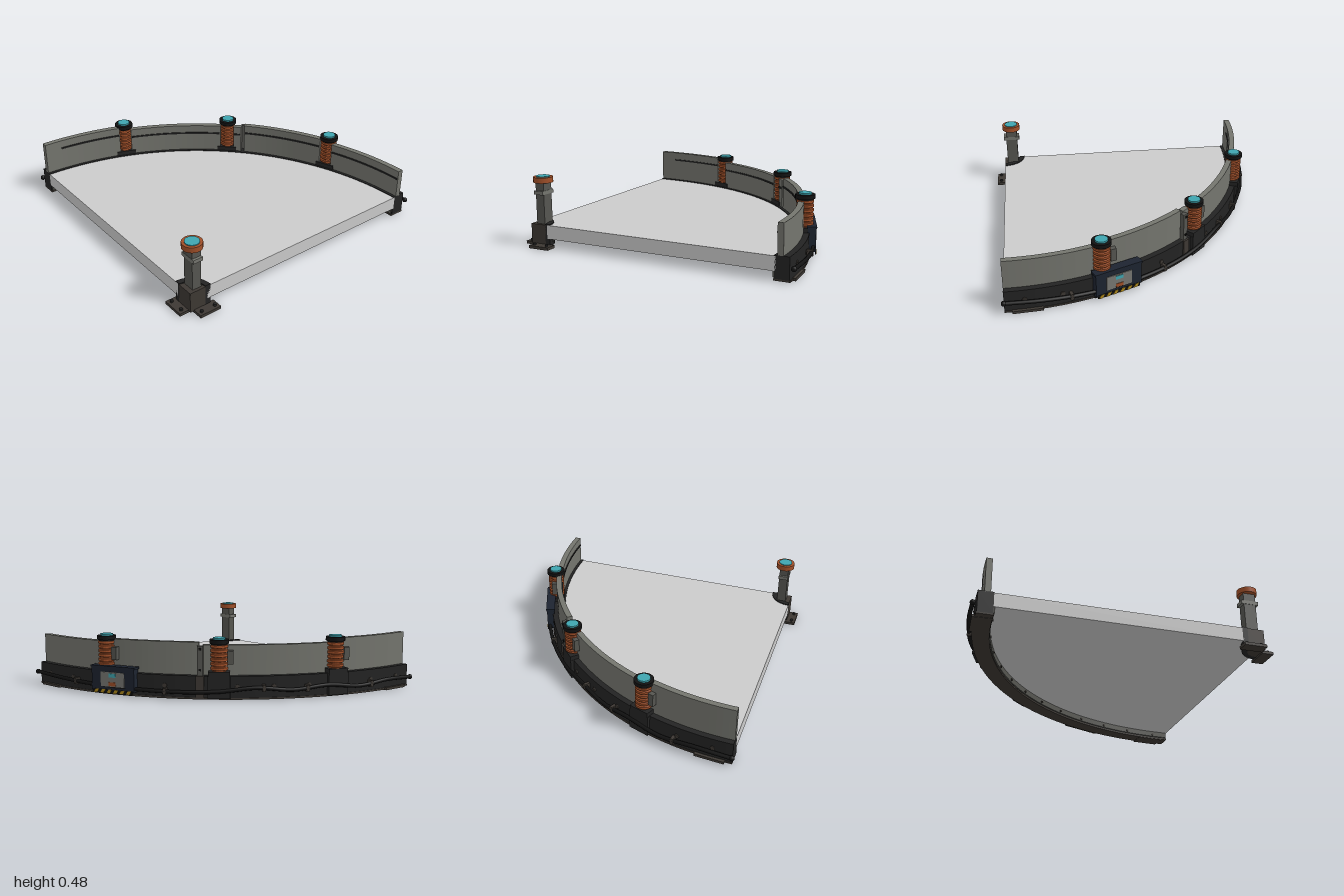
import * as THREE from 'three';

const D = Math.PI / 180;
const mat = (color) => new THREE.MeshStandardMaterial({ color });
const M = {
  floor: mat(0xcccccc), wall: mat(0x74756e), dark: mat(0x232323), black: mat(0x121212),
  iron: mat(0x3d3833), post: mat(0x555550), copper: mat(0xa04f28), teal: mat(0x3fa5b0),
  navy: mat(0x1d2430), panel: mat(0x777772), yellow: mat(0xb08a1c),
};
// Pivot corner of the quarter circle; every part is placed around it
const CX = -0.935, CZ = 0.925;

function mesh(name, geo, material, x = 0, y = 0, z = 0) {
  const m = new THREE.Mesh(geo, material);
  m.name = name;
  m.position.set(x, y, z);
  return m;
}
const box = (name, m, w, h, d, x, y, z) => mesh(name, new THREE.BoxGeometry(w, h, d), m, x, y, z);
const cyl = (name, m, r, h, x, y, z, n = 24) => mesh(name, new THREE.CylinderGeometry(r, r, h, n), m, x, y, z);

// Ring slice between two radii, two angles (degrees) and two heights
function sector(name, m, r0, r1, a0, a1, y0, y1) {
  const s = new THREE.Shape();
  s.absarc(0, 0, r1, a0 * D, a1 * D, false);
  s.absarc(0, 0, r0, a1 * D, a0 * D, true);
  s.closePath();
  const geo = new THREE.ExtrudeGeometry(s, {
    depth: y1 - y0, bevelEnabled: false, curveSegments: Math.max(2, Math.ceil((a1 - a0) / 3)),
  });
  geo.rotateX(-Math.PI / 2);
  return mesh(name, geo, m, 0, y0, 0);
}

// Group at a radius and angle: local +x points outward, z runs along the arc
function station(name, r, a) {
  const g = new THREE.Group();
  g.name = name;
  g.position.set(r * Math.cos(a * D), 0, -r * Math.sin(a * D));
  g.rotation.y = a * D;
  return g;
}

function makeCoil() {
  const g = station('coilPost', 1.857, 0);
  g.add(box('coilBase', M.dark, 0.11, 0.036, 0.145, 0, 0.173, 0));
  g.add(box('coilFoot', M.dark, 0.05, 0.15, 0.15, 0.03, 0.085, 0));
  // Ribbed copper column
  const pts = [[0.001, 0.19], [0.048, 0.19]];
  for (let i = 0; i < 6; i++) {
    const y = 0.197 + i * 0.03;
    pts.push([0.048, y], [0.058, y + 0.004], [0.058, y + 0.02], [0.048, y + 0.024]);
  }
  pts.push([0.048, 0.378], [0.001, 0.378]);
  const lathe = new THREE.LatheGeometry(pts.map(([x, y]) => new THREE.Vector2(x, y)), 24).toNonIndexed();
  lathe.computeVertexNormals();
  g.add(mesh('coilColumn', lathe, M.copper));
  g.add(cyl('coilCollar', M.black, 0.055, 0.014, 0, 0.372, 0));
  g.add(cyl('coilCap', M.black, 0.066, 0.027, 0, 0.391, 0));
  g.add(cyl('coilLamp', M.teal, 0.043, 0.013, 0, 0.41, 0));
  g.add(box('coilClamp', M.post, 0.035, 0.09, 0.04, 0.01, 0.285, -0.075));
  return g;
}

function makeControlBox() {
  const g = station('controlBox', 1.9, 22.7);
  g.add(box('controlHousing', M.navy, 0.055, 0.17, 0.335, 0, 0.118, 0));
  g.add(box('controlLid', M.navy, 0.065, 0.014, 0.345, 0, 0.197, 0));
  g.add(box('controlPanel', M.panel, 0.01, 0.1, 0.185, 0.028, 0.112, 0));
  g.add(box('screen', M.teal, 0.006, 0.026, 0.055, 0.034, 0.14, 0));
  g.add(box('switchPlate', M.copper, 0.006, 0.026, 0.055, 0.034, 0.08, 0));
  // Slanted warning stripes along the lower edge
  g.add(box('stripeBack', M.black, 0.006, 0.026, 0.31, 0.028, 0.028, 0));
  for (let i = 0; i < 6; i++) {
    const s = new THREE.Shape();
    [[0, 0], [0.026, 0], [0.042, 0.026], [0.016, 0.026]].forEach(([x, y], k) => (k ? s.lineTo(x, y) : s.moveTo(x, y)));
    const geo = new THREE.ExtrudeGeometry(s, { depth: 0.003, bevelEnabled: false }).rotateY(Math.PI / 2);
    g.add(mesh('warningStripe', geo, M.yellow, 0.03, 0.015, 0.15 - i * 0.051));
  }
  return g;
}

export function createModel() {
  const root = new THREE.Group();
  root.name = 'quarterArena';
  const arena = new THREE.Group();
  arena.name = 'arena';
  arena.position.set(CX, 0, CZ);
  root.add(arena);

  // Floor and curved curb
  arena.add(sector('floor', M.floor, 0.13, 1.8, 0, 90, 0.06, 0.155));
  arena.add(sector('curb', M.dark, 1.79, 1.89, 0, 90, 0.012, 0.16));
  arena.add(sector('curbFlange', M.iron, 1.785, 1.895, 0, 90, 0.002, 0.014));
  arena.add(sector('curbInnerLining', M.post, 1.78, 1.792, 0.2, 89.8, 0.02, 0.06));

  // Wall panels [start, end, top] with an inset dark strip on the inner face
  const panels = [[71.4, 90, 0.392], [46.6, 68.6, 0.365], [41.5, 43.4, 0.365], [21.5, 40.7, 0.382], [0, 18.5, 0.362]];
  for (const [a0, a1, top] of panels) {
    arena.add(sector('wallPanel', M.wall, 1.81, 1.85, a0, a1, 0.155, top));
    const end = a1 === 90 ? 86 : a1 - 0.2;
    arena.add(sector('wallStrip', M.dark, 1.804, 1.812, a0 + 0.2, end, top - 0.068, top - 0.056));
  }

  // Coil posts standing in the wall gaps
  for (const a of [20, 45, 70]) {
    const coil = makeCoil();
    coil.position.set(1.857 * Math.cos(a * D), 0, -1.857 * Math.sin(a * D));
    coil.rotation.y = a * D;
    arena.add(coil);
  }
  arena.add(makeControlBox());

  // Upright strap over the panel seam
  const strap = station('seamStrap', 1.865, 41.1);
  strap.add(box('strapBar', M.post, 0.03, 0.34, 0.04, 0.006, 0.19, 0));
  strap.add(box('strapFoot', M.iron, 0.05, 0.15, 0.055, 0.01, 0.085, 0));
  for (const y of [0.2, 0.34]) strap.add(box('strapBolt', M.black, 0.008, 0.014, 0.014, 0.024, y, 0));
  arena.add(strap);

  // Bolts on both faces of the curb
  for (let i = 0; i < 12; i++) {
    const st = station('curbBolts', 1.84, 4 + i * 7.45);
    for (const [x, y, r] of [[-0.062, 0.035, 0.009], [0.05, 0.09, 0.016]]) {
      const b = cyl('bolt', M.iron, r, 0.012, x, y, 0, 8);
      b.rotation.z = Math.PI / 2;
      st.add(b);
    }
    arena.add(st);
  }

  // Foot plates beneath the curb ends
  for (const a of [4.5, 85.5]) {
    const st = station('curbFoot', 1.85, a);
    st.add(box('footPlate', M.iron, 0.12, 0.018, 0.2, 0, 0.009, 0));
    arena.add(st);
  }

  // Cable sagging around the outside, with clips
  const heights = [0.09, 0.082, 0.07, 0.06, 0.055, 0.052, 0.06, 0.085, 0.065, 0.085, 0.06, 0.08, 0.07];
  const at = (r, a, y) => new THREE.Vector3(r * Math.cos(a * D), y, -r * Math.sin(a * D));
  const path = new THREE.CatmullRomCurve3(heights.map((y, i) => at(1.917, i * 7.5, y)));
  arena.add(mesh('cable', new THREE.TubeGeometry(path, 90, 0.0135, 8), M.black));
  for (const y of [0, 1]) {
    const e = path.getPoint(y);
    arena.add(mesh('cableEnd', new THREE.SphereGeometry(0.018, 10, 8), M.black, e.x, e.y, e.z));
  }
  for (const a of [13, 34, 54, 63, 78]) {
    const st = station('cableClip', 1.9, a);
    st.add(box('clip', M.iron, 0.05, 0.045, 0.022, 0.005, path.getPoint(a / 90).y, 0));
    arena.add(st);
  }

  // Pivot corner: hub, post with cap, and two foot plates
  arena.add(sector('pivotHub', M.dark, 0.115, 0.152, 0, 90, 0.012, 0.162));
  arena.add(sector('pivotCore', M.iron, 0.001, 0.12, 0, 90, 0.012, 0.155));
  for (const a of [15, 37, 59, 80]) {
    const st = station('hubBolt', 0.152, a);
    const b = cyl('bolt', M.post, 0.008, 0.01, 0, 0.04, 0, 8);
    b.rotation.z = Math.PI / 2;
    st.add(b);
    arena.add(st);
  }
  const post = new THREE.Group();
  post.name = 'pivotPost';
  post.position.set(0.066, 0, -0.064);
  post.add(box('postShaft', M.post, 0.065, 0.3, 0.085, 0, 0.295, 0));
  post.add(box('postCollar', M.wall, 0.07, 0.026, 0.12, 0, 0.371, 0));
  post.add(cyl('postCap', M.copper, 0.067, 0.038, 0, 0.457, 0, 20));
  post.add(cyl('postLamp', M.teal, 0.048, 0.01, 0, 0.477, 0));
  arena.add(post);
  // The two foot plates reach out past each straight side
  const feet = [[-0.025, -0.098, 0.08, 0.155], [0.103, 0.03, 0.155, 0.08]];
  for (const [x, z, w, d] of feet) {
    arena.add(box('pivotFoot', M.iron, w, 0.02, d, x, 0.01, z));
    for (const s of [-1, 1]) {
      const along = s * 0.05;
      arena.add(cyl('footBolt', M.dark, 0.011, 0.016, x + (w > d ? along : -0.012), 0.026, z + (w > d ? 0.012 : along), 8));
    }
  }
  return root;
}
